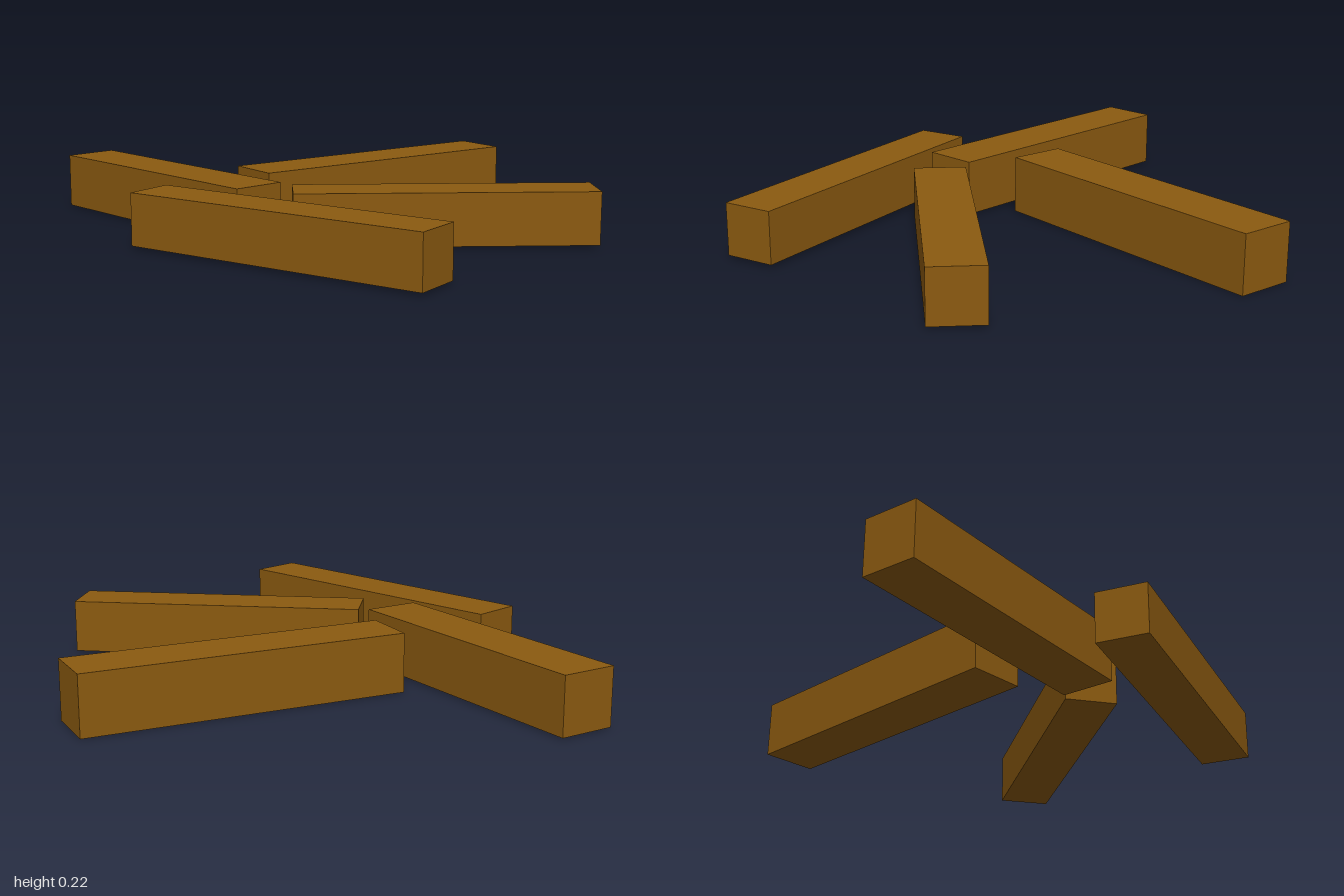
import * as THREE from 'three';

export function createModel() {
  const model = new THREE.Group();
  model.name = 'scatteredLogs';
  const wood = new THREE.MeshStandardMaterial({ color: 0x8b5a10 });
  wood.name = 'brown wood';

  // Square beams lying flat: centre x and z, length, thickness, turn about y
  const beams = [
    ['rightBeam', 0.45, 0.178, 1.1, 0.196, 0],
    ['backBeam', 0.247, -0.531, 1.175, 0.215, 0.586],
    ['leftBeam', -0.57, -0.278, 1.078, 0.208, -0.864],
    ['frontBeam', -0.138, 0.502, 1.2, 0.194, -0.6435],
  ];
  for (const [name, x, z, length, thickness, turn] of beams) {
    const beam = new THREE.Mesh(new THREE.BoxGeometry(length, thickness, thickness), wood);
    beam.name = name;
    beam.position.set(x, 0.1075, z);
    beam.rotation.y = turn;
    model.add(beam);
  }
  return model;
}
